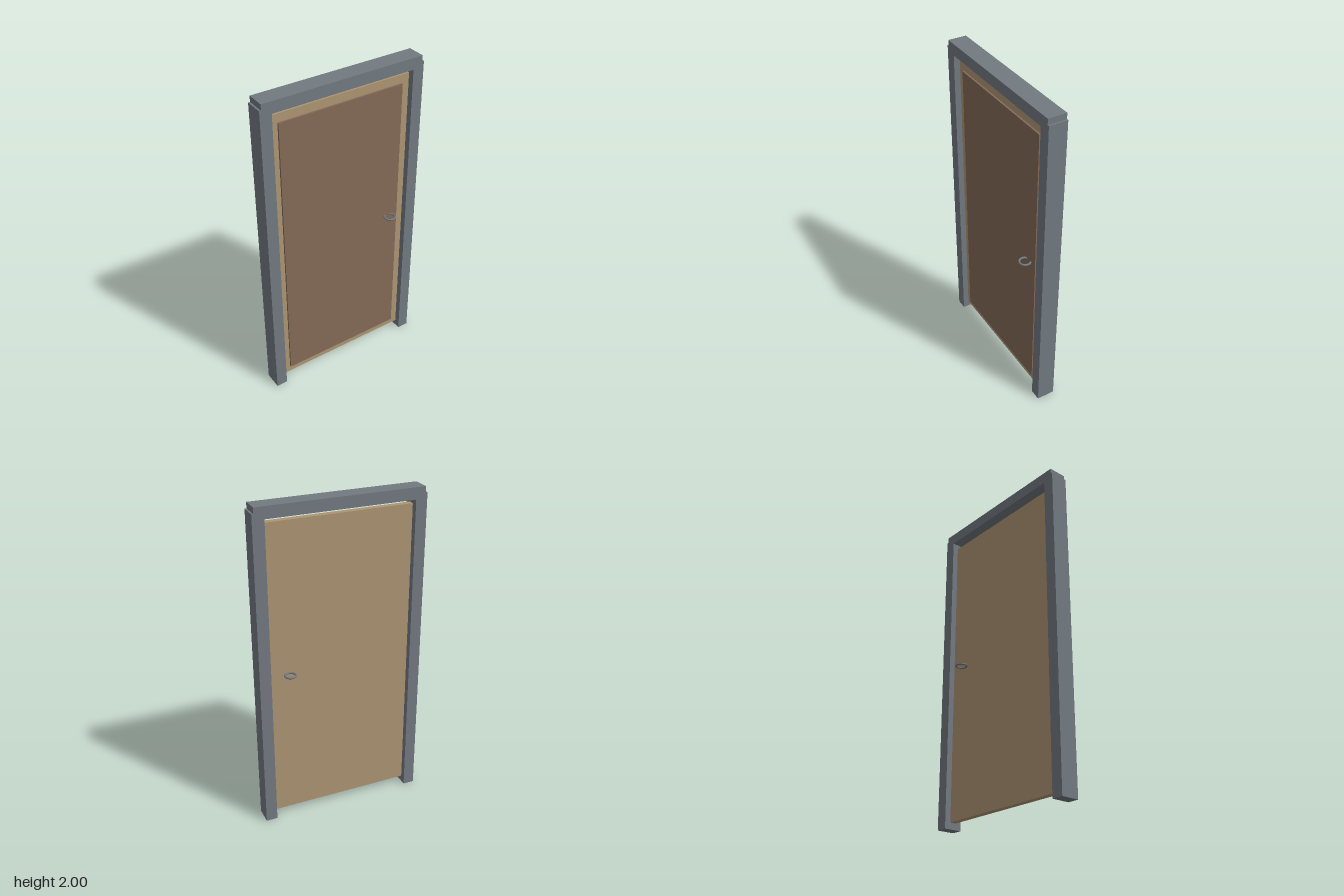
import * as THREE from 'three';

export function createModel() {
  const model = new THREE.Group();
  model.name = 'door';

  const material = (name, color) => {
    const m = new THREE.MeshStandardMaterial({ color });
    m.name = name;
    return m;
  };
  const grey = material('slate grey', 0x727a80);
  const tan = material('tan wood', 0xad9572);
  const brown = material('brown wood', 0x846a57);

  // Box given by its limits on each axis
  const box = (name, mat, [x0, x1], [y0, y1], [z0, z1]) => {
    const mesh = new THREE.Mesh(new THREE.BoxGeometry(x1 - x0, y1 - y0, z1 - z0), mat);
    mesh.position.set((x0 + x1) / 2, (y0 + y1) / 2, (z0 + z1) / 2);
    mesh.name = name;
    model.add(mesh);
  };

  // Frame: two jambs and a slightly narrower header lapping over them
  const depth = [-0.056, 0.056];
  box('leftJamb', grey, [0.446, 0.516], [0, 1.965], depth);
  box('rightJamb', grey, [-0.516, -0.446], [0, 1.965], depth);
  box('header', grey, [-0.505, 0.505], [1.93, 2], depth);

  // Door leaf with a raised panel on the front only
  box('doorLeaf', tan, [-0.446, 0.446], [0.04, 1.9], [-0.019, 0.019]);
  box('frontPanel', brown, [-0.397, 0.397], [0.083, 1.848], [0.019, 0.03]);

  // Horizontal ring handle on each side
  for (const side of [1, -1]) {
    const ring = new THREE.Mesh(new THREE.TorusGeometry(0.0325, 0.006, 12, 40), grey);
    ring.rotation.x = Math.PI / 2;
    ring.position.set(0.329, 0.986, side * 0.0545);
    ring.name = side > 0 ? 'frontHandle' : 'backHandle';
    model.add(ring);
  }

  return model;
}
